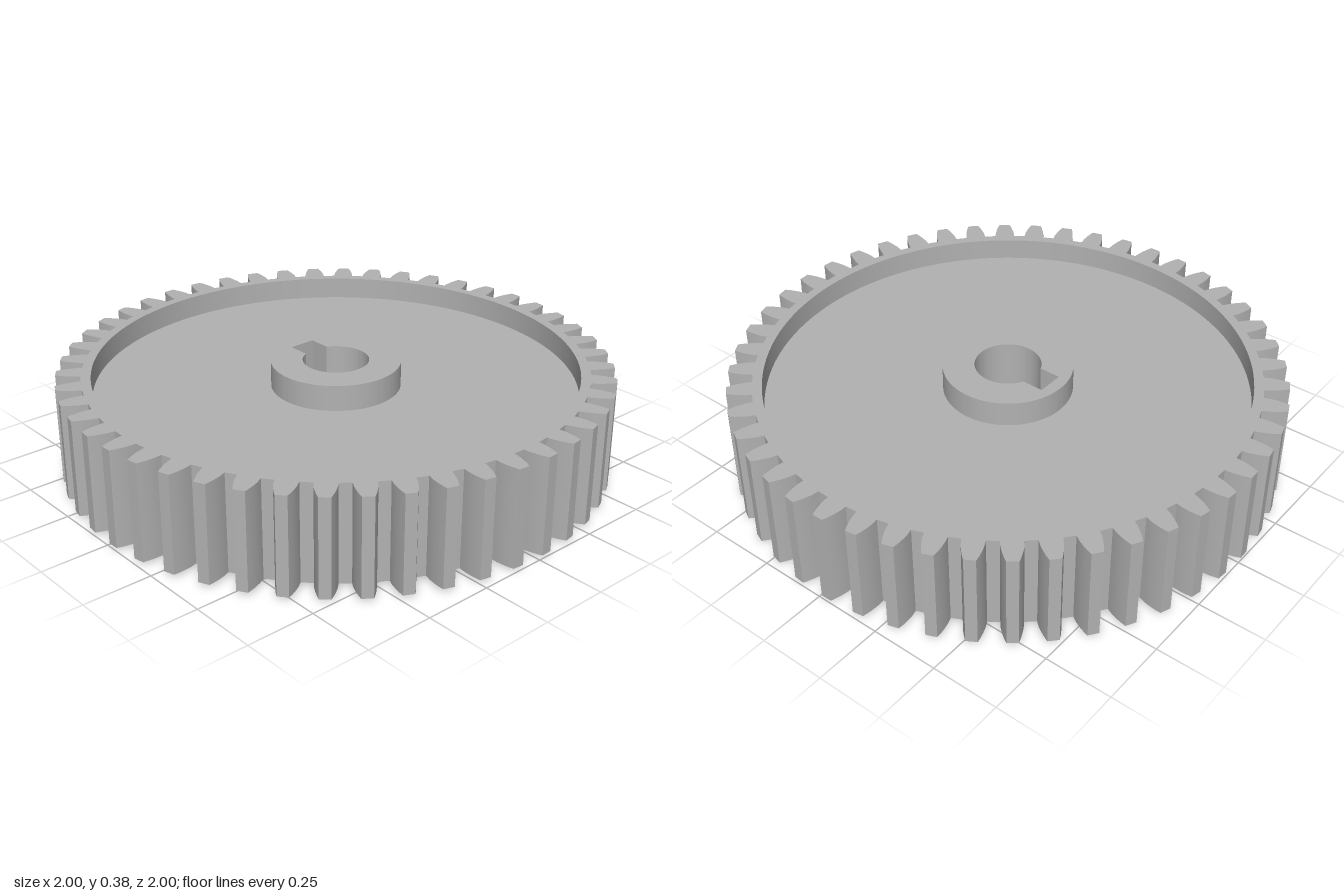
import * as THREE from 'three';
import { toCreasedNormals } from 'three/addons/utils/BufferGeometryUtils.js';

const TEETH = 48;
const PHASE = Math.PI / 96; // a quarter of the tooth pitch
const RIM_INNER = 0.875, HUB_R = 0.235;

const steel = new THREE.MeshStandardMaterial({ color: 0xb2b2b2 });
steel.name = 'steel grey';

// Radius and half angle up one tooth flank, root to tip
const FLANK = [[0.91, 0.042], [0.935, 0.0395], [0.96, 0.0335], [0.98, 0.0275], [1, 0.02]];

function gearOutline() {
  const pts = [];
  const add = (r, a) => pts.push(new THREE.Vector2(r * Math.cos(a), r * Math.sin(a)));
  for (let i = 0; i < TEETH; i++) {
    const a = PHASE + (i * 2 * Math.PI) / TEETH;
    FLANK.forEach(([r, h]) => add(r, a - h));
    [...FLANK].reverse().forEach(([r, h]) => add(r, a + h));
  }
  return new THREE.Shape(pts);
}

function disc(radius) {
  return new THREE.Shape().absarc(0, 0, radius, 0, Math.PI * 2, false);
}

function roundHole(radius) {
  return new THREE.Path().absarc(0, 0, radius, 0, Math.PI * 2, true);
}

// Round bore with a square keyway towards the back
function keyedBore() {
  const r = 0.12, half = 0.05, top = 0.19;
  const a = Math.acos(half / r);
  const path = new THREE.Path();
  path.absarc(0, 0, r, a, Math.PI - a, true);
  path.lineTo(-half, top);
  path.lineTo(half, top);
  path.closePath();
  return path;
}

// Upright slab between two heights
function slab(name, shape, hole, y0, y1) {
  shape.holes.push(hole);
  let geo = new THREE.ExtrudeGeometry(shape, { depth: y1 - y0, bevelEnabled: false, curveSegments: 96 });
  geo.rotateX(-Math.PI / 2);
  geo.translate(0, y0, 0);
  geo = toCreasedNormals(geo, 0.25);
  const mesh = new THREE.Mesh(geo, steel);
  mesh.name = name;
  return mesh;
}

export function createModel() {
  const gear = new THREE.Group();
  gear.name = 'spurGear';
  gear.add(
    slab('toothedRim', gearOutline(), roundHole(RIM_INNER), 0.012, 0.37),
    slab('recessedWeb', disc(RIM_INNER), roundHole(HUB_R), 0.095, 0.287),
    slab('keyedHub', disc(HUB_R), keyedBore(), 0, 0.382)
  );
  return gear;
}
